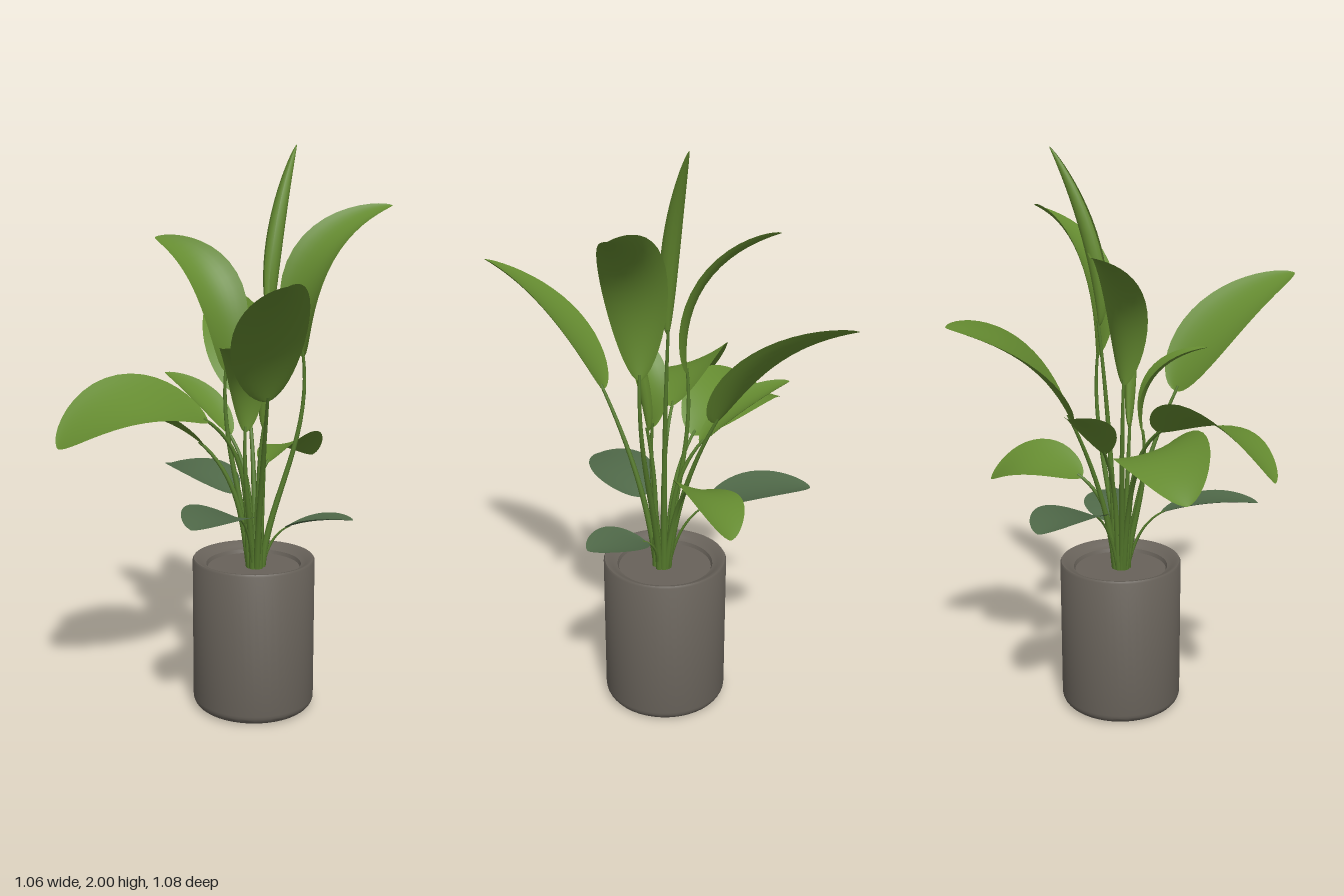
import * as THREE from 'three';
import { toCreasedNormals } from 'three/addons/utils/BufferGeometryUtils.js';

const UP = new THREE.Vector3(0, 1, 0);
const CENTRE = new THREE.Vector3(0.05, 0.51, -0.08);

const makeMaterial = (name, color, side = THREE.FrontSide) => {
  const m = new THREE.MeshStandardMaterial({ color, side });
  m.name = name;
  return m;
};

// Blade outlines: peak sets the widest point (lower = nearer the base),
// full rounds the outline, curl bends the edges up.
const broad = { peak: 0.93, full: 0.58, curl: 0.3 };
const upright = { peak: 0.9, full: 0.62, curl: 0.6 };
const pointed = { peak: 0.76, full: 0.62, curl: 0.45 };
const rolled = { peak: 0.75, full: 0.7, curl: 2.7 };

// Horizontal direction across a leaf
const acrossLeaf = (base, tip) => tip.clone().sub(base).cross(UP).normalize();

// Midrib: an arc from base to tip, bowed upwards
function midrib(base, tip, bow) {
  const lift = acrossLeaf(base, tip).cross(tip.clone().sub(base)).normalize();
  const control = base.clone().lerp(tip, 0.5).addScaledVector(lift, 2 * bow);
  return new THREE.QuadraticBezierCurve3(base, control, tip);
}

// Leaf blade: a curled cross-section swept along the midrib, turned about it by roll
function leafGeometry(curve, half, { peak, full, curl }, roll) {
  const rows = 22, cols = 10, pos = [], index = [];
  const side = acrossLeaf(curve.v0, curve.v2);
  for (let i = 0; i <= rows; i++) {
    const t = (1 - Math.cos((Math.PI * i) / rows)) / 2;
    const p = curve.getPoint(t), tan = curve.getTangent(t);
    const s = side.clone().applyAxisAngle(tan, -roll);
    const n = s.clone().cross(tan).normalize();
    const w = half * Math.max(0.002, Math.sin(Math.PI * Math.pow(t, peak))) ** full;
    for (let j = 0; j <= cols; j++) {
      const a = ((j / cols) * 2 - 1) * curl;
      const v = p.clone()
        .addScaledVector(s, (w * Math.sin(a)) / curl)
        .addScaledVector(n, (w * (1 - Math.cos(a))) / curl);
      pos.push(v.x, v.y, v.z);
      if (i < rows && j < cols) {
        const k = i * (cols + 1) + j, m = k + cols + 1;
        index.push(k, k + 1, m, k + 1, m + 1, m);
      }
    }
  }
  const g = new THREE.BufferGeometry();
  g.setAttribute('position', new THREE.Float32BufferAttribute(pos, 3));
  g.setIndex(index);
  g.computeVertexNormals();
  return g;
}

// Stem: a tube that thins towards the leaf and meets it along the midrib
function stemGeometry(start, curve, radius) {
  const end = curve.getPoint(0), tan = curve.getTangent(0), h = end.y - start.y;
  const c1 = start.clone().lerp(end, 0.15);
  c1.y = start.y + 0.35 * h;
  const path = new THREE.CubicBezierCurve3(start, c1, end.clone().addScaledVector(tan, -0.38 * h),
    end.clone().addScaledVector(tan, 0.02));
  const segs = 16, sides = 8;
  const g = new THREE.TubeGeometry(path, segs, radius, sides);
  const pos = g.attributes.position, v = new THREE.Vector3();
  for (let i = 0; i <= segs; i++) {
    const c = path.getPointAt(i / segs), k = 1 - 0.6 * (i / segs);
    for (let j = 0; j <= sides; j++) {
      const id = i * (sides + 1) + j;
      v.fromBufferAttribute(pos, id).sub(c).multiplyScalar(k).add(c);
      pos.setXYZ(id, v.x, v.y, v.z);
    }
  }
  return g;
}

export function createModel() {
  const root = new THREE.Group();
  root.name = 'pottedPlant';
  const leafGreen = makeMaterial('leaf green', 0x648a30, THREE.DoubleSide);
  const paleGreen = makeMaterial('greyish leaf green', 0x4f6848, THREE.DoubleSide);
  const stemGreen = makeMaterial('stem green', 0x557a2c);
  const potGrey = makeMaterial('pot grey', 0x68625a);
  const add = (parent, name, geometry, material) => {
    const mesh = new THREE.Mesh(geometry, material);
    mesh.name = name;
    parent.add(mesh);
    return mesh;
  };

  // Pot with a rounded foot and a shallow recess at the top
  const profile = [new THREE.Vector2(0, 0)];
  for (let i = 0; i <= 6; i++) {
    const a = (i / 6) * Math.PI / 2;
    profile.push(new THREE.Vector2(0.183 + 0.036 * Math.sin(a), 0.036 - 0.036 * Math.cos(a)));
  }
  const rim = [[0.219, 0.545], [0.215, 0.552], [0.203, 0.55], [0.188, 0.536], [0.17, 0.529], [0.165, 0.516], [0, 0.516]];
  rim.forEach(([r, y]) => profile.push(new THREE.Vector2(r, y)));
  const pot = add(root, 'pot', toCreasedNormals(new THREE.LatheGeometry(profile, 48), 0.8), potGrey);
  pot.position.set(0.04, 0, -0.08);

  // One leaf on its own stem; stems start in a cluster, on the side they lean towards
  const addLeaf = (name, base, tip, bow, half, shape, roll = 0, material = leafGreen, radius = 0.013) => {
    const group = new THREE.Group();
    group.name = name;
    root.add(group);
    const curve = midrib(new THREE.Vector3(...base), new THREE.Vector3(...tip), bow);
    add(group, 'blade', leafGeometry(curve, half, shape, roll), material);
    const lean = curve.v0.clone().sub(CENTRE).setY(0).normalize();
    add(group, 'stem', stemGeometry(CENTRE.clone().addScaledVector(lean, 0.022), curve, radius), stemGreen);
  };

  // Tall leaves
  addLeaf('backLeftTallLeaf', [0.165, 1.27, -0.2], [0.34, 1.79, -0.49], 0.14, 0.11, upright, -0.35);
  addLeaf('rightTallLeaf', [-0.055, 1.22, -0.04], [-0.38, 1.68, -0.05], 0.125, 0.1, upright, 0.4);
  addLeaf('backRightLeaf', [-0.09, 1.1, -0.22], [-0.45, 1.46, -0.5], 0.065, 0.125, pointed, 0.4);
  addLeaf('frontLeftLeaf', [0.21, 1.15, 0.08], [0.535, 1.55, 0.45], 0.065, 0.135, pointed, -0.3);

  // Young leaves, still rolled up
  addLeaf('rolledTallLeaf', [0.055, 1.4, -0.16], [0.045, 2, -0.325], 0.025, 0.08, rolled);
  addLeaf('rolledShortLeaf', [0.095, 1.03, -0.06], [0.185, 1.5, -0.06], 0, 0.055, rolled);

  // Arching leaves around the middle
  addLeaf('rightSmallLeaf', [-0.08, 0.98, -0.1], [-0.4, 1.18, -0.12], 0.025, 0.08, upright);
  addLeaf('frontSmallLeaf', [0.06, 1.02, 0], [0.125, 1.33, 0.21], 0.09, 0.07, upright);
  addLeaf('rightBroadLeaf', [-0.1, 0.96, 0.03], [-0.52, 0.97, 0.29], 0.1, 0.15, broad, -0.25);
  addLeaf('frontBroadLeaf', [-0.04, 1.06, 0.08], [-0.32, 1.0, 0.52], 0.105, 0.16, broad, 0.4);
  addLeaf('backLowLeaf', [0, 0.865, -0.21], [-0.02, 0.84, -0.55], 0.065, 0.115, broad, 0.33);

  // Low greyish leaves on thin stems
  addLeaf('lowRightLeaf', [-0.09, 0.755, -0.13], [-0.455, 0.81, -0.21], 0.03, 0.115, broad, 0, paleGreen, 0.007);
  addLeaf('lowLeftLeaf', [0.13, 0.66, -0.15], [0.36, 0.705, -0.23], 0.015, 0.09, broad, 0.1, paleGreen, 0.007);
  addLeaf('lowFrontLeaf', [0.08, 0.73, 0.06], [0.145, 0.775, 0.4], 0.025, 0.112, broad, 0.1, paleGreen, 0.007);
  return root;
}
